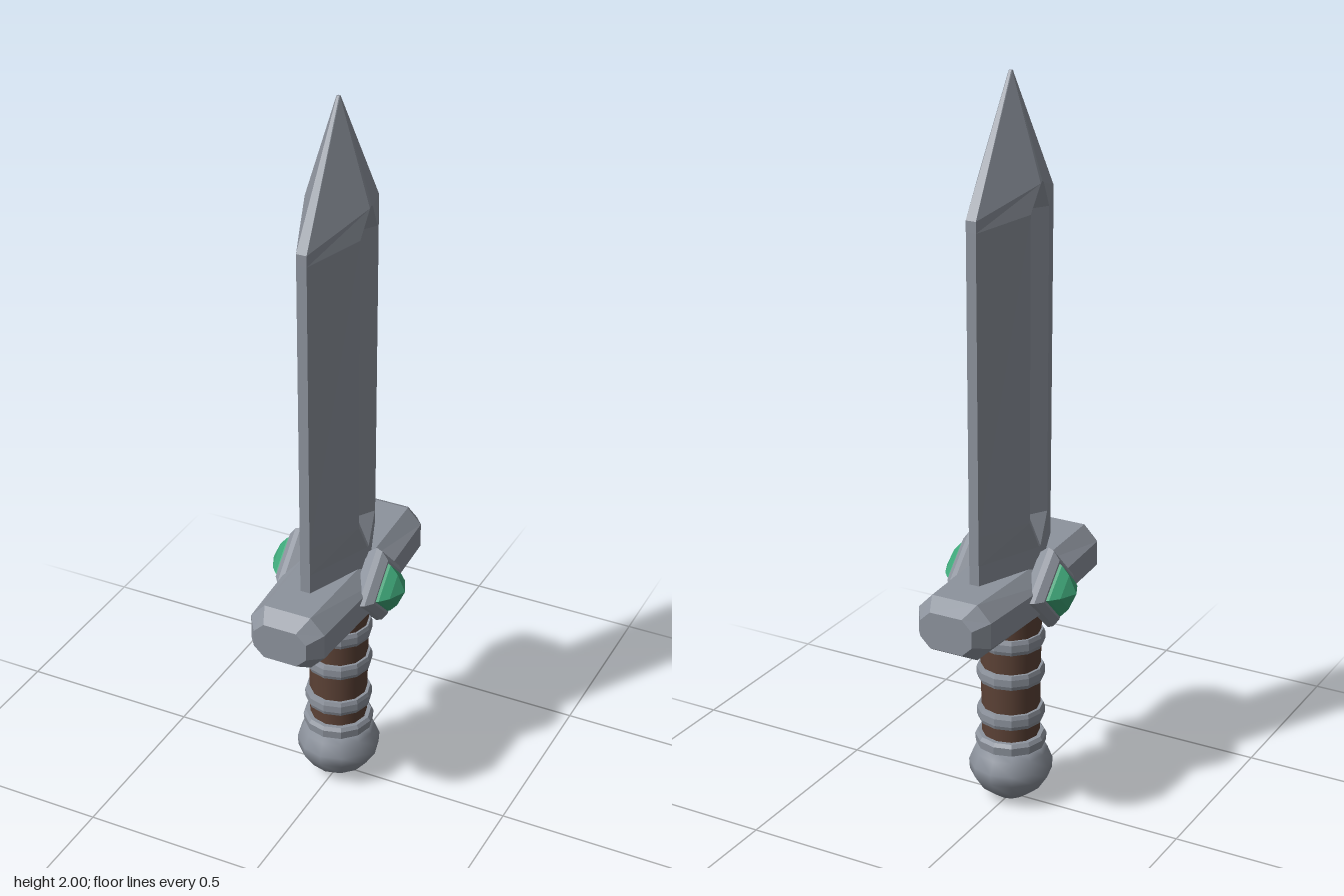
import * as THREE from 'three';

const steel = new THREE.MeshStandardMaterial({ color: 0x8d939d });
steel.name = 'steel';
const leather = new THREE.MeshStandardMaterial({ color: 0x5c4236 });
leather.name = 'brown leather';
const emerald = new THREE.MeshStandardMaterial({ color: 0x3fa87a });
emerald.name = 'green gem';

function part(name, geometry, material) {
  const mesh = new THREE.Mesh(geometry, material);
  mesh.name = name;
  return mesh;
}

function facet(geometry) {
  const g = geometry.index ? geometry.toNonIndexed() : geometry;
  g.computeVertexNormals();
  return g;
}

// Skin a series of equal-length rings and close both ends.
function loft(rings) {
  const n = rings[0].length;
  const pos = [];
  const tri = (a, b, c) => pos.push(...a, ...b, ...c);
  for (let i = 0; i < rings.length - 1; i++) {
    for (let j = 0; j < n; j++) {
      const k = (j + 1) % n;
      const [a, b, c, d] = [rings[i][j], rings[i][k], rings[i + 1][k], rings[i + 1][j]];
      tri(a, b, c);
      tri(a, c, d);
    }
  }
  const first = rings[0], last = rings[rings.length - 1];
  for (let j = 1; j < n - 1; j++) {
    tri(first[0], first[j + 1], first[j]);
    tri(last[0], last[j], last[j + 1]);
  }
  const g = new THREE.BufferGeometry();
  g.setAttribute('position', new THREE.Float32BufferAttribute(pos, 3));
  return facet(g);
}

function lathe(profile, sides) {
  return new THREE.LatheGeometry(profile.map(([r, y]) => new THREE.Vector2(r, y)), sides);
}

// Blade section: blunt edge, ridge and groove floor, each with its own height.
function bladeRing({ edge, ridge, groove }) {
  const [ex, ez, ey] = edge, [rx, rz, ry] = ridge, [gx, gy] = groove;
  const half = [[ex, ey, ez], [rx, ry, rz], [gx, gy, 0], [rx, ry, -rz], [ex, ey, -ez]];
  return [...half, ...half.map(([x, y, z]) => [-x, y, -z])];
}

// Octagonal guard section.
function guardRing(z, w, h) {
  const cy = 0.628, f = w * 0.62, k = h * 0.45;
  return [[w, -k], [w, k], [f, h], [-f, h], [-w, k], [-w, -k], [-f, -h], [f, -h]]
    .map(([x, y]) => [x, cy + y, z]);
}

export function createModel() {
  const sword = new THREE.Group();
  sword.name = 'sword';

  // Blade with a sunken groove on each broad face
  sword.add(part('blade', loft([
    { edge: [0.014, 0.195, 0.66], ridge: [0.088, 0.008, 0.66], groove: [0.088, 0.66] },
    { edge: [0.014, 0.195, 0.76], ridge: [0.088, 0.008, 0.76], groove: [0.088, 0.76] },
    { edge: [0.014, 0.196, 0.84], ridge: [0.082, 0.048, 0.84], groove: [0.052, 0.84] },
    { edge: [0.014, 0.2, 1.64], ridge: [0.082, 0.048, 1.66], groove: [0.052, 1.66] },
    { edge: [0.014, 0.2, 1.67], ridge: [0.088, 0.008, 1.73], groove: [0.088, 1.735] },
    { edge: [0.003, 0.004, 2], ridge: [0.005, 0.002, 2], groove: [0.005, 2] },
  ].map(bladeRing)), steel));

  // Cross guard
  sword.add(part('crossGuard', loft([
    guardRing(-0.34, 0.075, 0.05),
    guardRing(-0.295, 0.106, 0.077),
    guardRing(0, 0.124, 0.077),
    guardRing(0.295, 0.106, 0.077),
    guardRing(0.34, 0.075, 0.05),
  ]), steel));

  // Diamond settings with gems on both sides
  for (const side of [1, -1]) {
    const mount = new THREE.Group();
    mount.name = side > 0 ? 'leftGemMount' : 'rightGemMount';
    const setting = part('gemSetting', facet(lathe(
      [[0, 0.07], [0.095, 0.085], [0.115, 0.112], [0.108, 0.128], [0.085, 0.145], [0, 0.145]], 4)), steel);
    const gem = part('gem', facet(lathe(
      [[0.078, 0.14], [0.072, 0.152], [0.048, 0.173], [0, 0.195]], 4)), emerald);
    mount.add(setting, gem);
    mount.rotation.z = -side * Math.PI / 2;
    mount.position.y = 0.645;
    sword.add(mount);
  }

  // Leather grip
  const grip = part('grip', new THREE.CylinderGeometry(0.083, 0.078, 0.41, 12), leather);
  grip.position.y = 0.365;
  sword.add(grip);

  // Metal bands
  for (const y of [0.482, 0.38, 0.26]) {
    const band = part('gripBand', facet(lathe(
      [[0.075, -0.021], [0.088, -0.021], [0.092, -0.01], [0.092, 0.01], [0.088, 0.021], [0.075, 0.021]], 12)), steel);
    band.position.y = y;
    sword.add(band);
  }

  // Pommel and its collar
  sword.add(part('pommel', lathe(
    [[0, 0], [0.04, 0.005], [0.085, 0.038], [0.112, 0.08], [0.114, 0.11], [0.1, 0.145], [0.085, 0.168], [0, 0.17]], 12), steel));
  sword.add(part('pommelCollar', facet(lathe(
    [[0.075, 0.16], [0.095, 0.165], [0.097, 0.188], [0.09, 0.198], [0, 0.198]], 12)), steel));

  return sword;
}
